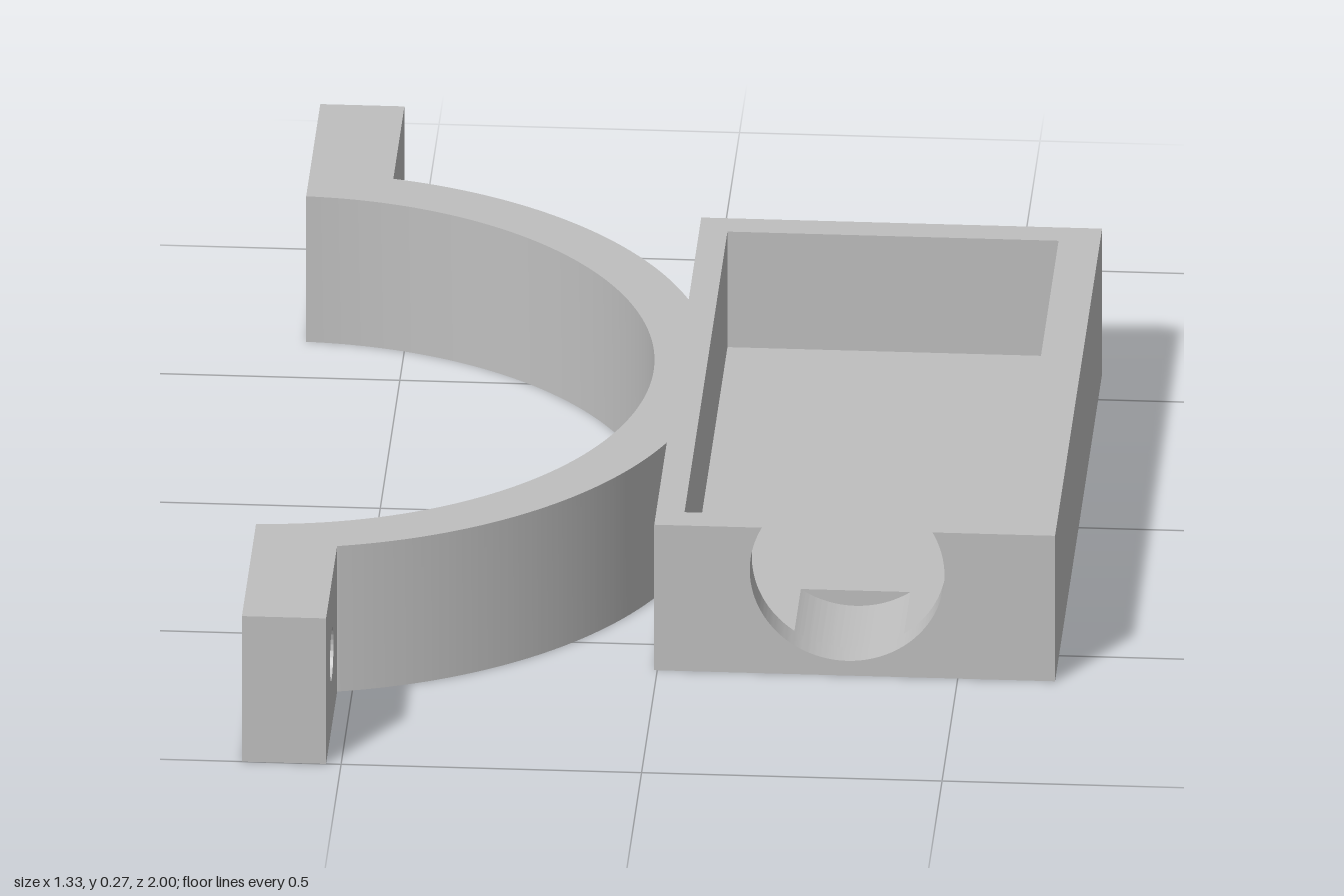
import * as THREE from 'three';
import { toCreasedNormals } from 'three/addons/utils/BufferGeometryUtils.js';

const H = 0.267;                                    // overall height
const X0 = -0.005, X1 = 0.662, Z = 0.6;             // tray outside
const IX0 = 0.042, IX1 = 0.593, IZ = 0.548;         // tray cavity
const FLOOR = 0.055, GROOVE_END = 0.385;
const NX = 0.316, NY = 0.189, NR = 0.162;           // round notch
const CX = -0.685, RI = 0.64, RO = 0.735;           // clamp arc
const TX0 = -0.665, TX1 = -0.525;                   // ear thickness

export function createModel() {
  const model = new THREE.Group();
  model.name = 'clampTray';
  const grey = new THREE.MeshStandardMaterial({ color: 0xbfbfbf });
  grey.name = 'grey';

  const add = (name, geometry) => {
    const mesh = new THREE.Mesh(geometry, grey);
    mesh.name = name;
    model.add(mesh);
    return mesh;
  };
  const extrude = (shape, depth) => toCreasedNormals(
    new THREE.ExtrudeGeometry(shape, { depth, bevelEnabled: false, curveSegments: 64 }), 0.5);
  const rect = (x0, y0, x1, y1) => new THREE.Shape([
    new THREE.Vector2(x0, y0), new THREE.Vector2(x1, y0),
    new THREE.Vector2(x1, y1), new THREE.Vector2(x0, y1)]);

  // Block profile whose top edge is cut by the round notch
  const notched = (x0, x1, top) => {
    const a = Math.asin((top - NY) / NR);
    const s = new THREE.Shape();
    s.moveTo(x0, 0);
    s.lineTo(x1, 0);
    s.lineTo(x1, top);
    s.absarc(NX, NY, NR, a, Math.PI - a, true);
    s.lineTo(x0, top);
    s.closePath();
    return s;
  };

  // Tray: front wall with notch, floor with short groove, remaining walls
  add('trayFrontWall', extrude(notched(X0, X1, H), Z - IZ)).position.z = IZ;
  add('trayGroovedFloor', extrude(notched(IX0, IX1, FLOOR), IZ - GROOVE_END)).position.z = GROOVE_END;
  const floorLength = GROOVE_END + IZ;
  add('trayFloor', new THREE.BoxGeometry(IX1 - IX0, FLOOR, floorLength))
    .position.set((IX0 + IX1) / 2, FLOOR / 2, GROOVE_END - floorLength / 2);
  const walls = new THREE.Shape([
    [X0, -IZ], [IX0, -IZ], [IX0, IZ], [IX1, IZ], [IX1, -IZ], [X1, -IZ], [X1, Z], [X0, Z],
  ].map(([x, y]) => new THREE.Vector2(x, y)));
  add('trayWalls', extrude(walls, H).rotateX(-Math.PI / 2));

  // Half-round clamp, ending flush against the tray
  const a = Math.acos((TX1 - CX) / RO);
  const b = Math.acos((X0 - CX) / RO);
  const i = Math.acos((TX0 - CX) / RI);
  const earZ = RO * Math.sin(a);
  const arc = new THREE.Shape();
  arc.moveTo(TX0, -earZ);
  arc.lineTo(TX1, -earZ);
  arc.absarc(CX, 0, RO, -a, -b, false);
  arc.absarc(CX, 0, RO, b, a, false);
  arc.lineTo(TX0, earZ);
  arc.absarc(CX, 0, RI, i, -i, true);
  arc.closePath();
  add('clampArc', extrude(arc, H).rotateX(-Math.PI / 2));

  // Drilled mounting ears
  for (const side of [-1, 1]) {
    const ear = side > 0 ? rect(earZ, 0, 1, H) : rect(-1, 0, -earZ, H);
    const hole = new THREE.Path();
    hole.absarc(side * 0.855, H / 2, 0.045, 0, Math.PI * 2, true);
    ear.holes.push(hole);
    add(side > 0 ? 'backEar' : 'frontEar', extrude(ear, TX1 - TX0).rotateY(Math.PI / 2)).position.x = TX0;
  }
  return model;
}
